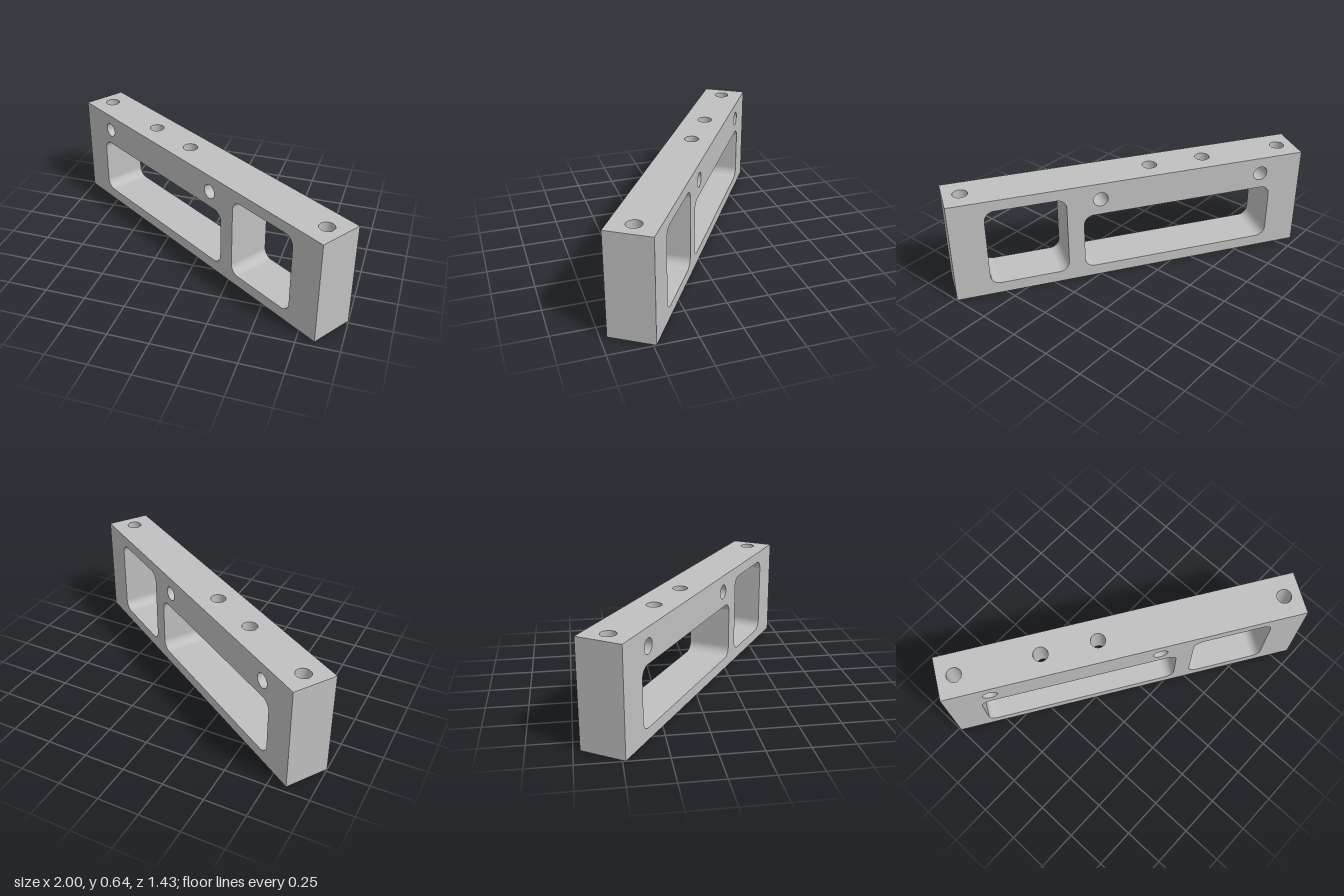
import * as THREE from 'three';

const L = 2.203, H = 0.64, W = 0.273;   // block length, height, thickness
const BORE = 0.045;
const WALL_TOP = 0.435;                 // underside of the rail above the long window

// Counter-clockwise rounded rectangle, starting at the top left corner.
// Each entry is [x, y, inward normal x, inward normal y].
function roundedLoop(x0, y0, x1, y1, r, steps = 10) {
  const corners = [[x0 + r, y1 - r], [x0 + r, y0 + r], [x1 - r, y0 + r], [x1 - r, y1 - r]];
  const loop = [];
  corners.forEach(([cx, cy], k) => {
    for (let i = 0; i <= steps; i++) {
      const a = (k + 1 + i / steps) * Math.PI / 2;
      const c = Math.cos(a), s = Math.sin(a);
      loop.push([cx + r * c, cy + r * s, -c, -s]);
    }
  });
  return loop;
}
const circle = (x, y) => roundedLoop(x - BORE, y - BORE, x + BORE, y + BORE, BORE, 8);

// Flat rectangle with cut-outs, facing +z
function panel(x0, y0, x1, y1, loops = []) {
  const toPoints = (loop) => loop.map(([x, y]) => new THREE.Vector2(x, y))
    .filter((p, i, all) => p.distanceTo(all[(i + 1) % all.length]) > 1e-5);
  const shape = new THREE.Shape([[x0, y0], [x1, y0], [x1, y1], [x0, y1]].map(([x, y]) => new THREE.Vector2(x, y)));
  shape.holes = loops.map((loop) => new THREE.Path(toPoints(loop)));
  return new THREE.ShapeGeometry(shape);
}

// Inner wall of a cut-out, running from z0 to z1; an open one omits its top flat
function innerWall(loop, z0, z1, closed = true) {
  const pos = [], nor = [], index = [];
  const n = loop.length;
  for (const [x, y, nx, ny] of loop) {
    pos.push(x, y, z0, x, y, z1);
    nor.push(nx, ny, 0, nx, ny, 0);
  }
  for (let i = 0; i < (closed ? n : n - 1); i++) {
    const a = 2 * i, b = 2 * ((i + 1) % n);
    index.push(a, a + 1, b, b, a + 1, b + 1);
  }
  const g = new THREE.BufferGeometry();
  g.setAttribute('position', new THREE.Float32BufferAttribute(pos, 3));
  g.setAttribute('normal', new THREE.Float32BufferAttribute(nor, 3));
  g.setIndex(index);
  return g;
}

export function createModel() {
  const group = new THREE.Group();
  group.name = 'mountingBlock';
  const metal = new THREE.MeshStandardMaterial({ color: 0xc0c0c0 });
  metal.name = 'greyMetal';
  const block = new THREE.Group();
  block.name = 'block';
  group.add(block);
  const add = (name, geometry) => {
    const mesh = new THREE.Mesh(geometry, metal);
    mesh.name = name;
    block.add(mesh);
  };

  const hx = L / 2, hz = W / 2, R = 0.06;
  const long = [-0.9, 0.07, 0.308, WALL_TOP];
  const tall = [0.41, 0.07, 0.892, 0.572];
  const crossBores = [-0.829, 0.203];
  const endBores = [-0.998, 0.998];
  const railBores = [-0.488, -0.144];
  const boreY = 0.535;

  // Front and back faces with both windows and the cross bores
  const longLoop = roundedLoop(...long, R), tallLoop = roundedLoop(...tall, R);
  const crossLoops = crossBores.map((x) => circle(x, boreY));
  add('frontFace', panel(-hx, 0, hx, H, [longLoop, tallLoop, ...crossLoops]).translate(0, 0, hz));
  const flip = ([x0, y0, x1, y1]) => [-x1, y0, -x0, y1];
  add('backFace', panel(-hx, 0, hx, H, [
    roundedLoop(...flip(long), R), roundedLoop(...flip(tall), R),
    ...crossBores.map((x) => circle(-x, boreY)),
  ]).rotateY(Math.PI).translate(0, 0, -hz));

  // Top, bottom and end faces
  const endLoops = endBores.map((x) => circle(x, 0));
  const railLoops = railBores.map((x) => circle(x, 0));
  add('topFace', panel(-hx, -hz, hx, hz, [...endLoops, ...railLoops]).rotateX(-Math.PI / 2).translate(0, H, 0));
  add('bottomFace', panel(-hx, -hz, hx, hz, endLoops).rotateX(Math.PI / 2));
  for (const side of [-1, 1]) {
    add(side > 0 ? 'leftEnd' : 'rightEnd',
      new THREE.PlaneGeometry(W, H).rotateY(side * Math.PI / 2).translate(side * hx, H / 2, 0));
  }

  // Window walls; the long window's ceiling is pierced by the rail bores
  add('tallWindowWall', innerWall(tallLoop, -hz, hz));
  add('longWindowWall', innerWall(longLoop, -hz, hz, false));
  add('longWindowCeiling', panel(long[0] + R, -hz, long[2] - R, hz, railLoops)
    .rotateX(Math.PI / 2).translate(0, WALL_TOP, 0));

  // Bores
  crossLoops.forEach((loop) => add('crossBore', innerWall(loop, -hz, hz)));
  endLoops.forEach((loop) => add('endBore', innerWall(loop, 0, H).rotateX(-Math.PI / 2)));
  railLoops.forEach((loop) => add('railBore', innerWall(loop, WALL_TOP, H).rotateX(-Math.PI / 2)));

  // The block stands diagonally
  block.rotation.y = -0.574;
  return group;
}
